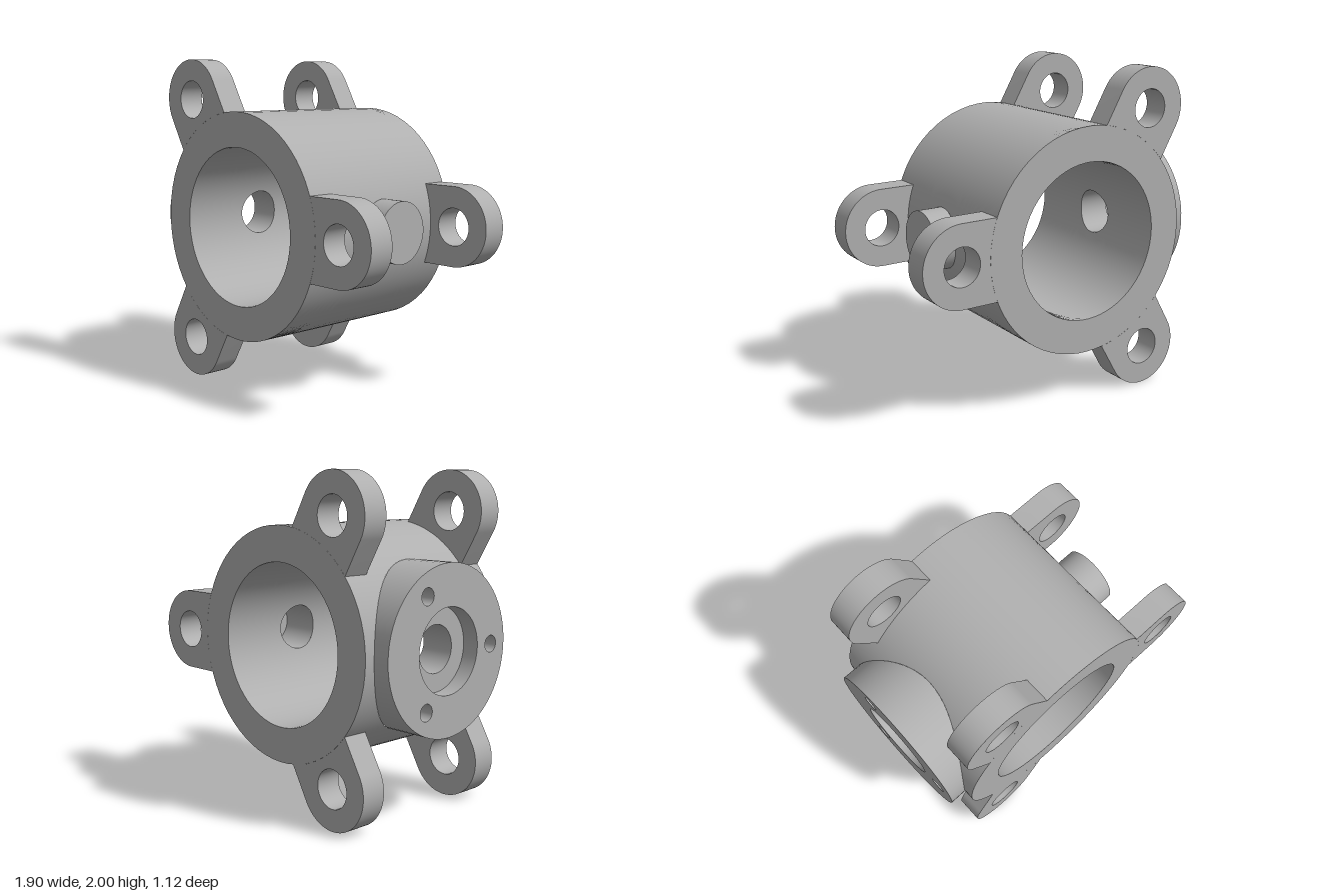
import * as THREE from 'three';
import { toCreasedNormals } from 'three/addons/utils/BufferGeometryUtils.js';
import { ParametricGeometry } from 'three/addons/geometries/ParametricGeometry.js';

// Main dimensions, measured from the barrel axis (z)
const OUTER = 0.69, BORE = 0.48, HALF = 0.56;
const LUG_DIST = 0.87, LUG_R = 0.245, LUG_HOLE = 0.115, LUG_THICK = 0.16;
const BOSS_R = 0.495, BOSS_END = -0.79, RECESS_R = 0.25, RECESS_FLOOR = -0.69;
const PIN_R = 0.185, PIN_END = 0.82, PORT_R = 0.14, PORT_FLOOR = 0.74;
const SCREW_R = 0.05, SCREW_DIST = 0.37, SCREW_FLOOR = -0.6;

// Point on the edge of a square with corners at +-1, counter-clockwise
function square(u) {
  const s = (((u % 1) + 1) % 1) * 4, k = Math.floor(s);
  const f = -1 + 2 * (s - k);
  return [[1, f], [-f, 1], [-1, -f], [f, -1]][k];
}

// Half of a round wall, pierced by a round hole on the x axis
function halfWall(R, side, holeR, outward) {
  const dir = -side * (outward ? 1 : -1);
  return new ParametricGeometry((u, v, p) => {
    const [a, b] = square(dir * u);
    const t = Math.atan2(b * HALF, a * R * Math.PI / 2);
    const th = THREE.MathUtils.lerp(Math.asin(holeR * Math.cos(t) / R), a * Math.PI / 2, v);
    const z = THREE.MathUtils.lerp(holeR * Math.sin(t), b * HALF, v);
    p.set(side * R * Math.cos(th), R * Math.sin(th), z);
  }, 128, 12);
}

// Round sleeve along x; faces outward when it runs to +x, inward when it runs to -x
function sleeve(r, from, to, cy = 0, cz = 0) {
  const at = (e, y) => (typeof e === 'function' ? e(y) : e);
  return new ParametricGeometry((u, v, p) => {
    const t = u * Math.PI * 2;
    const y = cy + r * Math.cos(t), z = cz + r * Math.sin(t);
    p.set(THREE.MathUtils.lerp(at(from, y), at(to, y), v), y, z);
  }, 64, 2);
}

// x of a barrel surface at height y
const surface = (R, side) => (y) => side * Math.sqrt(R * R - y * y);

// Lug outline, with its root following the barrel
function lugShape() {
  const root = Math.asin(LUG_R / OUTER);
  const s = new THREE.Shape();
  s.moveTo(OUTER * Math.cos(root), -LUG_R);
  s.lineTo(LUG_DIST, -LUG_R);
  s.absarc(LUG_DIST, 0, LUG_R, -Math.PI / 2, Math.PI / 2, false);
  s.lineTo(OUTER * Math.cos(root), LUG_R);
  s.absarc(0, 0, OUTER, root, -root, true);
  s.holes.push(new THREE.Path().absarc(LUG_DIST, 0, LUG_HOLE, 0, Math.PI * 2, true));
  return s;
}

export function createModel() {
  const metal = new THREE.MeshStandardMaterial({ color: 0xb0b0b0 });
  metal.name = 'grey metal';
  const model = new THREE.Group();
  model.name = 'flangedHousing';
  model.position.set(-0.165, 1, 0);

  const add = (name, geometry) => {
    const mesh = new THREE.Mesh(geometry, metal);
    mesh.name = name;
    model.add(mesh);
    return mesh;
  };
  // Flat face turned towards +x or -x
  const face = (name, geometry, side, x, y = 0, z = 0) => {
    const mesh = add(name, geometry);
    mesh.rotation.y = side * Math.PI / 2;
    mesh.position.set(x, y, z);
  };

  // Barrel walls and end rings
  for (const side of [-1, 1]) {
    add('barrelOuterWall', halfWall(OUTER, side, side < 0 ? BOSS_R : PIN_R, true));
    add('barrelBore', halfWall(BORE, side, PORT_R, false));
    const ring = add('barrelEnd', new THREE.RingGeometry(BORE, OUTER, 64));
    ring.position.z = side * HALF;
    if (side < 0) ring.rotation.y = Math.PI;
  }

  // Three mounting lugs at each end
  const lug = toCreasedNormals(new THREE.ExtrudeGeometry(lugShape(),
    { depth: LUG_THICK, bevelEnabled: false, curveSegments: 32 }), 0.5);
  for (const z of [HALF - LUG_THICK, -HALF]) {
    for (let i = 0; i < 3; i++) {
      const mesh = add('mountingLug', lug);
      mesh.position.z = z;
      mesh.rotation.z = i * Math.PI * 2 / 3;
    }
  }

  // Side boss with a recess and a port into the bore
  const bossFace = new THREE.Shape().absarc(0, 0, BOSS_R, 0, Math.PI * 2, false);
  bossFace.holes.push(new THREE.Path().absarc(0, 0, RECESS_R, 0, Math.PI * 2, true));
  add('bossWall', sleeve(BOSS_R, BOSS_END, surface(OUTER, -1)));
  add('bossRecess', sleeve(RECESS_R, RECESS_FLOOR, BOSS_END));
  face('recessFloor', new THREE.RingGeometry(PORT_R, RECESS_R, 64), -1, RECESS_FLOOR);
  add('bossPort', sleeve(PORT_R, surface(BORE, -1), RECESS_FLOOR));

  // Three blind screw holes in the boss
  for (let i = 0; i < 3; i++) {
    const a = i * Math.PI * 2 / 3;
    const z = SCREW_DIST * Math.cos(a), y = SCREW_DIST * Math.sin(a);
    bossFace.holes.push(new THREE.Path().absarc(z, y, SCREW_R, 0, Math.PI * 2, true));
    add('screwHole', sleeve(SCREW_R, SCREW_FLOOR, BOSS_END, y, z));
    face('screwHoleFloor', new THREE.CircleGeometry(SCREW_R, 32), -1, SCREW_FLOOR, y, z);
  }
  face('bossFace', new THREE.ShapeGeometry(bossFace, 32), -1, BOSS_END);

  // Closed pin opposite the boss, hollow from the bore
  add('pinWall', sleeve(PIN_R, surface(OUTER, 1), PIN_END));
  face('pinEnd', new THREE.CircleGeometry(PIN_R, 64), 1, PIN_END);
  add('pinPort', sleeve(PORT_R, PORT_FLOOR, surface(BORE, 1)));
  face('pinPortFloor', new THREE.CircleGeometry(PORT_R, 64), -1, PORT_FLOOR);

  const root = new THREE.Group();
  root.name = 'housing';
  root.add(model);
  return root;
}
